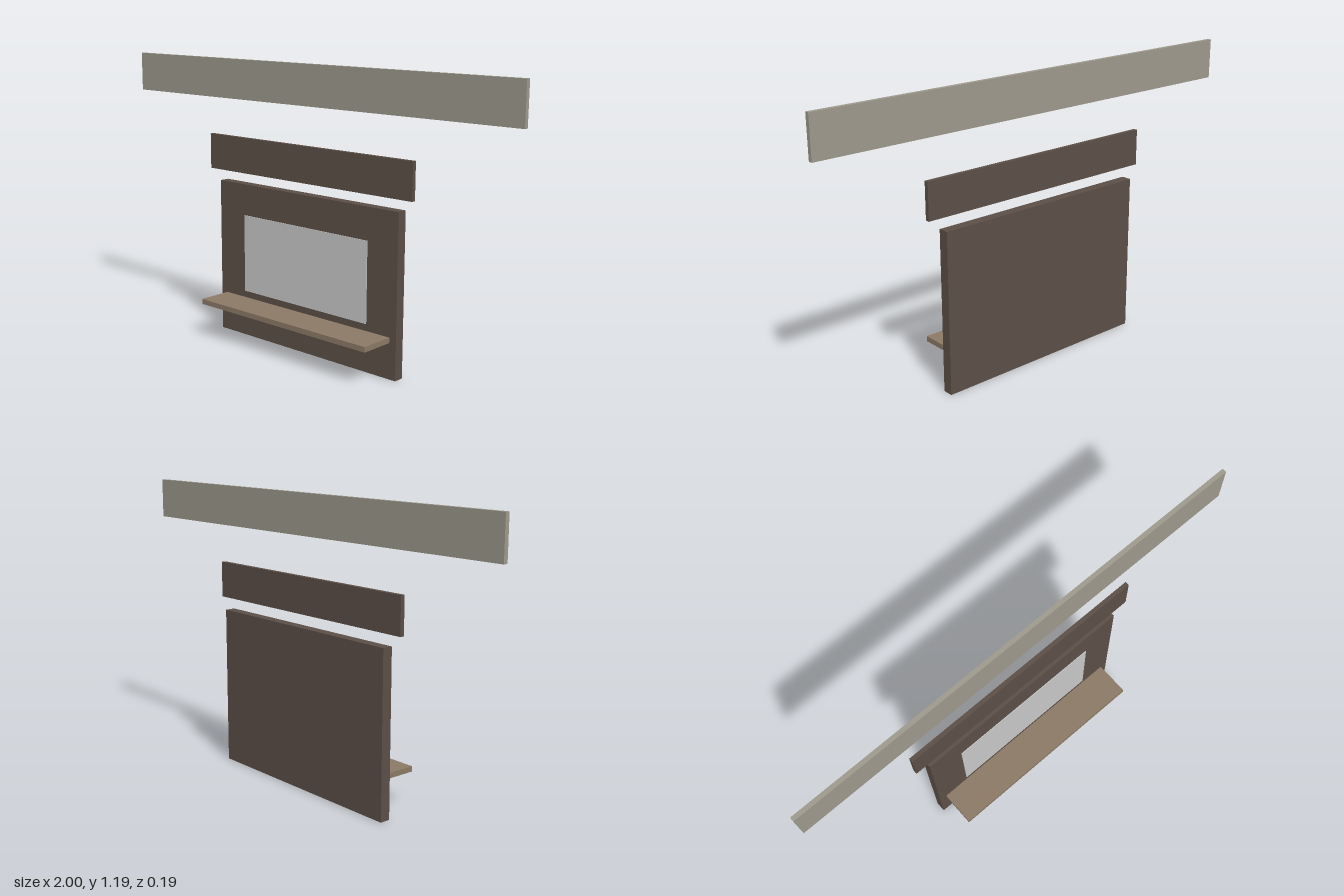
import * as THREE from 'three';

const material = (name, color) => {
  const m = new THREE.MeshStandardMaterial({ color });
  m.name = name;
  return m;
};

export function createModel() {
  const group = new THREE.Group();
  group.name = 'servingHatch';

  const darkWood = material('dark brown wood', 0x5c4f47);
  const paleWood = material('pale grey wood', 0x9d998c);
  const shelfWood = material('tan wood', 0x8b7965);
  const paleGrey = material('light grey pane', 0xc8c8c8);

  // Box centred on x, given its width and its y and z ranges
  const slab = (name, width, y0, y1, z0, z1, mat) => {
    const mesh = new THREE.Mesh(new THREE.BoxGeometry(width, y1 - y0, z1 - z0), mat);
    mesh.position.set(0, (y0 + y1) / 2, (z0 + z1) / 2);
    mesh.name = name;
    group.add(mesh);
  };

  const face = -0.053; // shared front plane of the panel and boards

  slab('backPanel', 0.968, 0, 0.668, -0.096, face, darkWood);
  slab('windowPane', 0.674, 0.199, 0.534, face, face + 0.003, paleGrey);
  slab('counterShelf', 0.904, 0.148, 0.17, face, 0.096, shelfWood);
  slab('signBoard', 1.088, 0.715, 0.866, -0.071, face, darkWood);
  slab('fasciaBoard', 2, 1.026, 1.193, -0.071, face, paleWood);

  return group;
}
